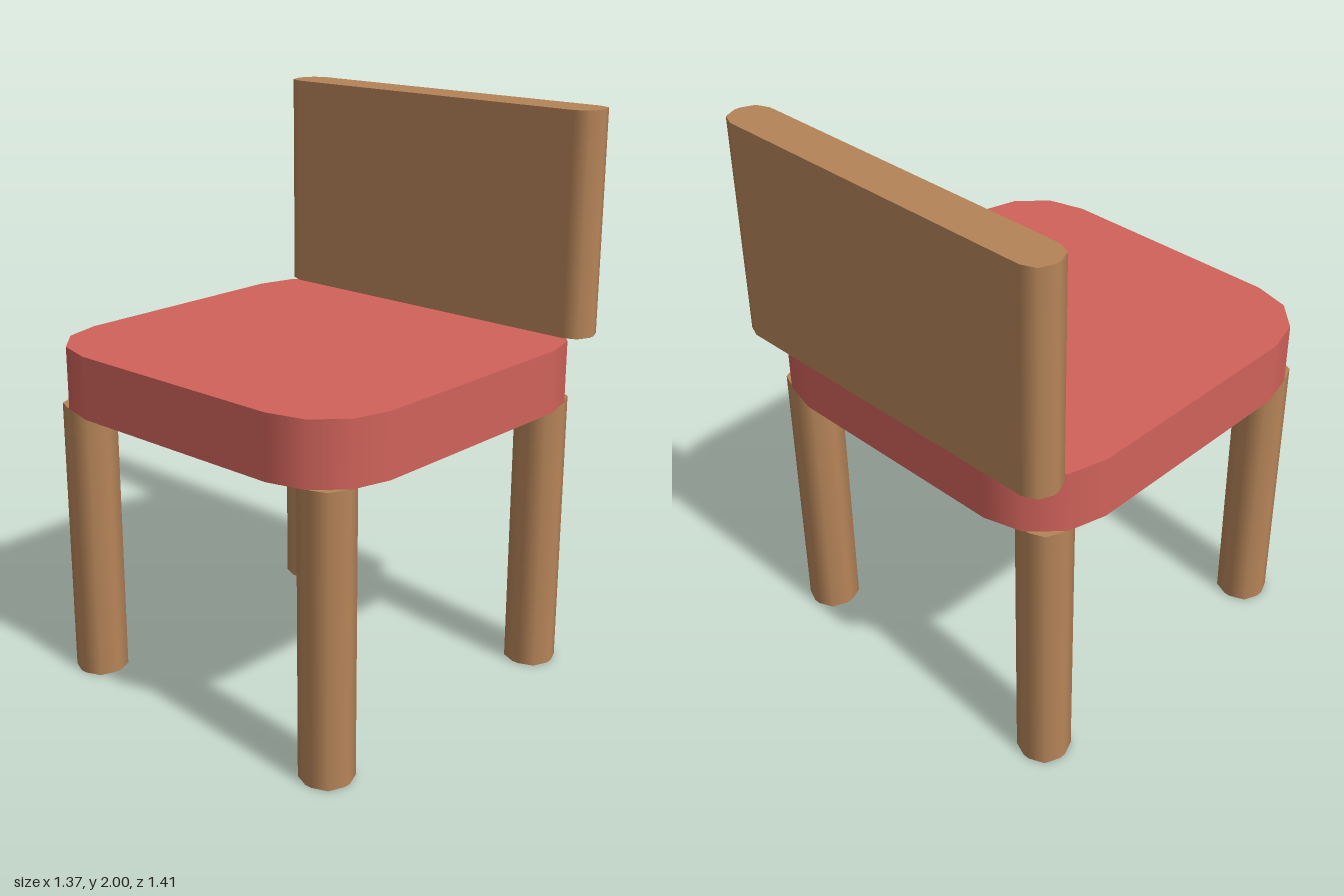
import * as THREE from 'three';

const wood = new THREE.MeshStandardMaterial({ color: 0xb58458 });
wood.name = 'wood';
const cushionRed = new THREE.MeshStandardMaterial({ color: 0xd0625a });
cushionRed.name = 'cushionRed';

// Upright slab with rounded vertical corners: flat faces, smooth corners, sharp caps.
function roundedSlab(width, height, depth, radius, segments) {
  const ix = width / 2 - radius;
  const iy = depth / 2 - radius;
  const points = [];
  [[1, 1], [-1, 1], [-1, -1], [1, -1]].forEach(([sx, sy], corner) => {
    for (let i = 0; i <= segments; i++) {
      const a = (corner + i / segments) * Math.PI / 2;
      points.push(new THREE.Vector2(sx * ix + radius * Math.cos(a), sy * iy + radius * Math.sin(a)));
    }
  });
  const geometry = new THREE.ExtrudeGeometry(new THREE.Shape(points), { depth: height, bevelEnabled: false });

  // Wall normals point away from the inner rectangle of corner centres.
  const pos = geometry.attributes.position;
  const normal = geometry.attributes.normal;
  const n = new THREE.Vector3();
  for (let i = 0; i < pos.count; i++) {
    if (Math.abs(normal.getZ(i)) > 0.5) continue;
    const x = pos.getX(i), y = pos.getY(i);
    n.set(x - THREE.MathUtils.clamp(x, -ix, ix), y - THREE.MathUtils.clamp(y, -iy, iy), 0).normalize();
    normal.setXYZ(i, n.x, n.y, 0);
  }
  return geometry.rotateX(-Math.PI / 2);
}

function addPart(group, name, geometry, material, x, y, z) {
  const mesh = new THREE.Mesh(geometry, material);
  mesh.name = name;
  mesh.position.set(x, y, z);
  group.add(mesh);
}

export function createModel() {
  const chair = new THREE.Group();
  chair.name = 'chair';

  // Cushioned seat and the backrest standing on its rear edge
  addPart(chair, 'seat', roundedSlab(1.37, 0.22, 1.37, 0.265, 3), cushionRed, 0, 1.005, 0.018);
  addPart(chair, 'backrest', roundedSlab(1.37, 0.775, 0.155, 0.067, 2), wood, 0, 1.225, -0.628);

  // Four legs
  const leg = roundedSlab(0.175, 1.005, 0.175, 0.075, 2);
  for (const [side, x] of [['Left', 0.552], ['Right', -0.556]]) {
    addPart(chair, 'front' + side + 'Leg', leg, wood, x, 0, 0.575);
    addPart(chair, 'back' + side + 'Leg', leg, wood, x, 0, -0.537);
  }
  return chair;
}
